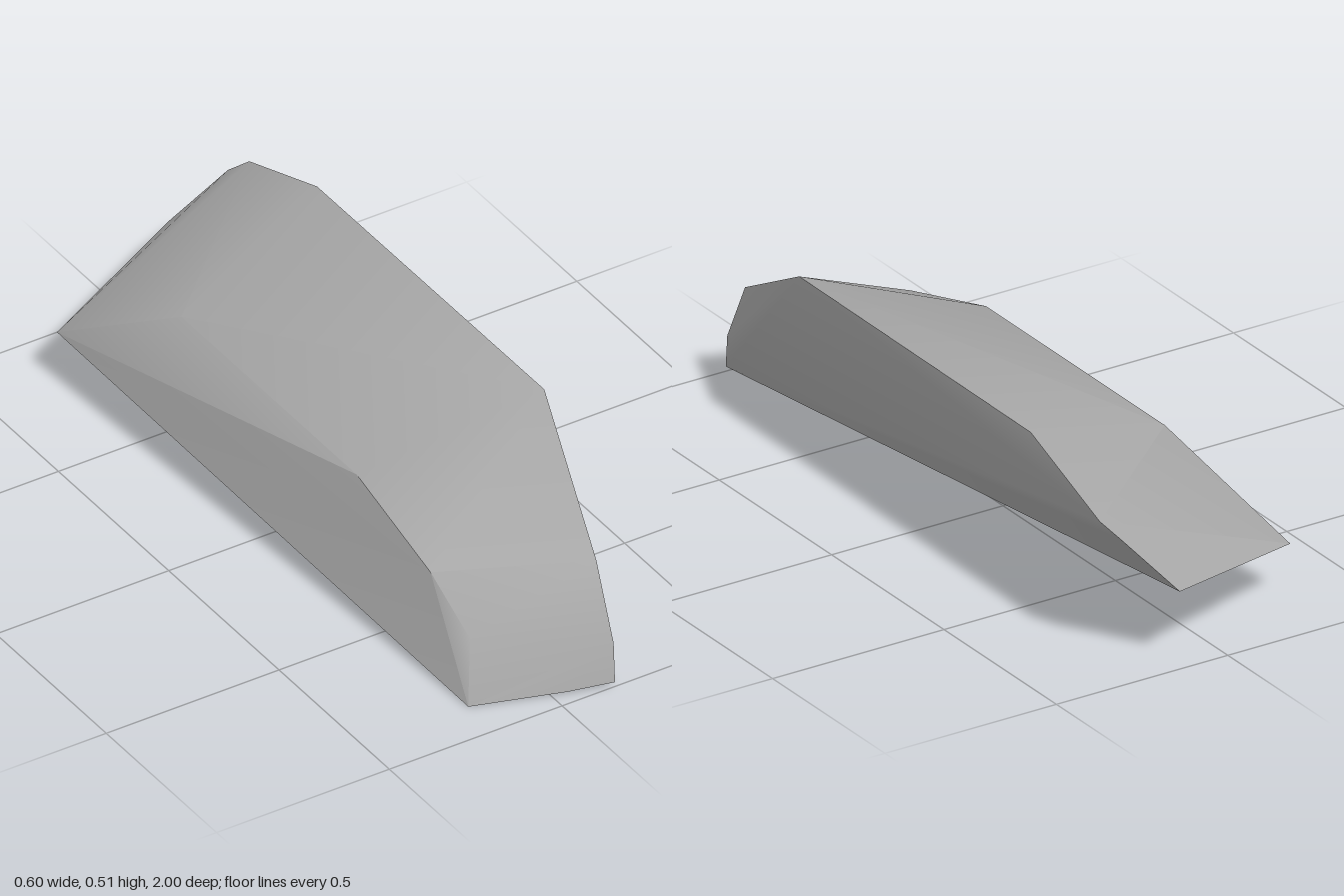
import * as THREE from 'three';
import { ConvexGeometry } from 'three/addons/geometries/ConvexGeometry.js';
import { toCreasedNormals } from 'three/addons/utils/BufferGeometryUtils.js';

export function createModel() {
  const group = new THREE.Group();
  const stone = new THREE.MeshStandardMaterial({ color: 0xa8a8a8 });
  stone.name = 'stone grey';

  // tilted underside
  const base = [
    [-0.195, 0.0, 0.88], [0.04, 0.005, 0.963], [0.153, 0.013, 1.0],
    [0.14, 0.21, -1.0], [-0.3, 0.15, -0.82],
  ];
  // lower left ridge, back to front
  const leftRidge = [
    [-0.17, 0.36, -0.46], [-0.17, 0.36, 0.335], [-0.17, 0.267, 0.67], [-0.152, 0.152, 0.82],
  ];
  // upper right ridge, back to front
  const rightRidge = [
    [0.265, 0.355, -0.93], [0.298, 0.395, -0.885], [0.293, 0.508, -0.57],
    [0.293, 0.513, 0.46], [0.182, 0.288, 0.87], [0.165, 0.11, 0.975],
  ];

  // faceted slab with softened ends and crisp long edges
  const points = [...base, ...leftRidge, ...rightRidge].map((p) => new THREE.Vector3(...p));
  const geometry = toCreasedNormals(new ConvexGeometry(points), THREE.MathUtils.degToRad(40));
  const rock = new THREE.Mesh(geometry, stone);
  rock.name = 'rock';
  group.add(rock);
  return group;
}
